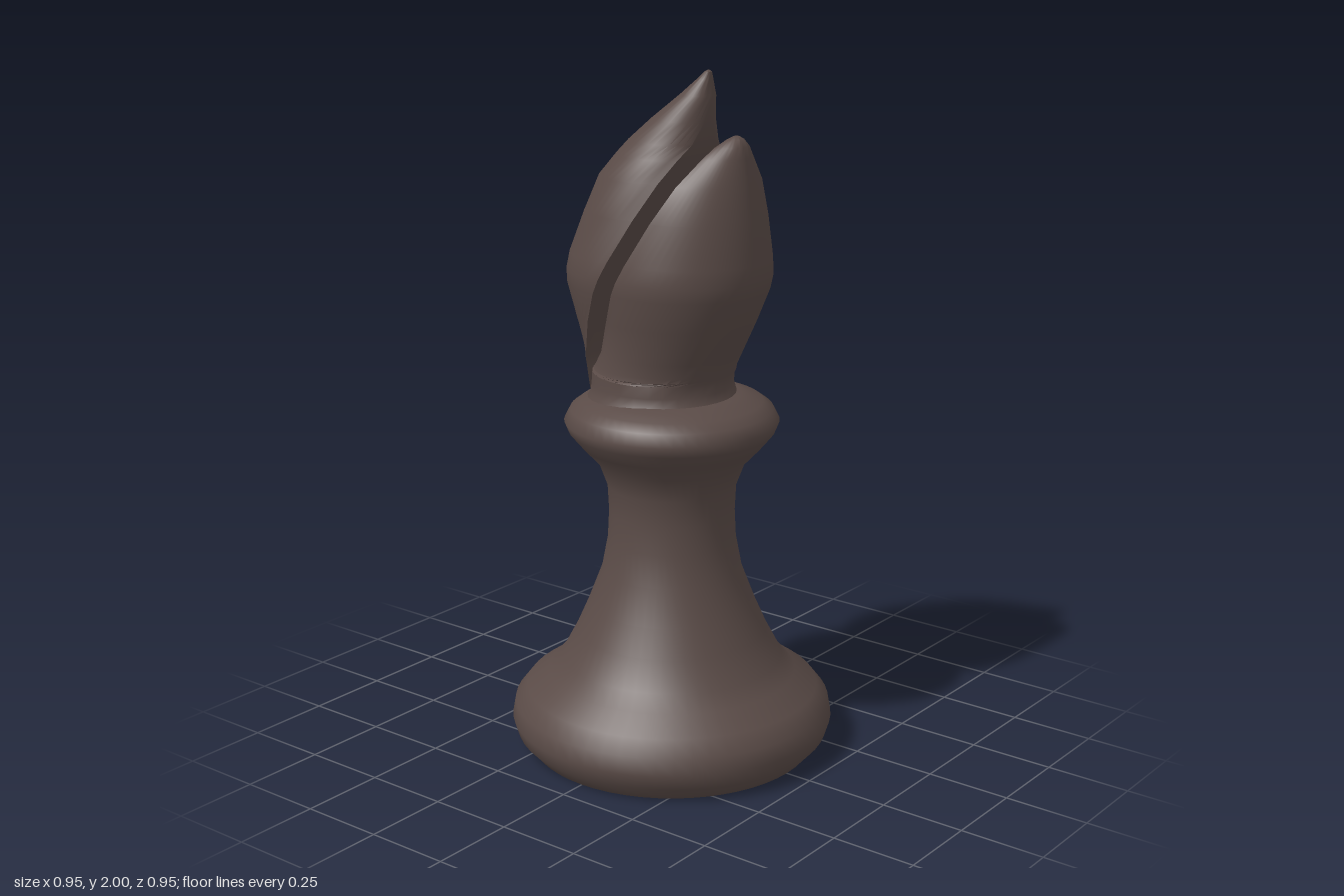
import * as THREE from 'three';
import { toCreasedNormals } from 'three/addons/utils/BufferGeometryUtils.js';

const ARC = 32, CHORD = 10;
const material = new THREE.MeshStandardMaterial({ color: 0x5a4b47 });

function addPart(group, name, geometry, crease) {
  const mesh = new THREE.Mesh(toCreasedNormals(geometry, crease), material);
  mesh.name = name;
  group.add(mesh);
}

// Stack of circles [y, centreX, radius, cutX], each trimmed by a straight chord
// at x = cutX; side -1 keeps the part left of the chord, +1 the part right of it.
function slicedSolid(levels, side) {
  const pos = [], index = [], n = ARC + CHORD;
  for (const [y, c, r, cut] of levels) {
    const a = Math.acos(THREE.MathUtils.clamp((cut - c) / r, -1, 1));
    const from = side < 0 ? a : -a;
    const to = side < 0 ? 2 * Math.PI - a : a;
    const point = (t) => [c + r * Math.cos(t), r * Math.sin(t)];
    for (let j = 0; j < ARC; j++) {
      const [x, z] = point(from + (to - from) * j / (ARC - 1));
      pos.push(x, y, z);
    }
    const [x0, z0] = point(to), [x1, z1] = point(from);
    for (let j = 1; j <= CHORD; j++) {
      const k = j / (CHORD + 1);
      pos.push(x0 + (x1 - x0) * k, y, z0 + (z1 - z0) * k);
    }
  }
  const last = (levels.length - 1) * n;
  for (let i = 0; i < levels.length - 1; i++) {
    for (let j = 0; j < n; j++) {
      const a = i * n + j, b = i * n + (j + 1) % n;
      index.push(a, a + n, b, b, a + n, b + n);
    }
  }
  // End caps
  for (let j = 1; j < n - 1; j++) {
    index.push(0, j, j + 1, last, last + j + 1, last + j);
  }
  const g = new THREE.BufferGeometry();
  g.setAttribute('position', new THREE.Float32BufferAttribute(pos, 3));
  g.setIndex(index);
  return g;
}

export function createModel() {
  const group = new THREE.Group();
  group.name = 'chessBishop';

  // Foot, waisted stem and collar in one turned profile
  const profile = [
    [0, 0], [0.42, 0], [0.43, 0.012], [0.46, 0.045], [0.474, 0.09], [0.465, 0.14],
    [0.43, 0.185], [0.365, 0.23], [0.325, 0.275], [0.28, 0.36], [0.245, 0.44],
    [0.205, 0.545], [0.187, 0.64], [0.183, 0.72], [0.187, 0.8], [0.213, 0.87],
    [0.262, 0.922], [0.298, 0.965], [0.31, 0.995], [0.292, 1.03], [0.262, 1.052],
    [0.225, 1.066], [0.2, 1.075], [0, 1.075],
  ].map(([r, y]) => new THREE.Vector2(r, y));
  addPart(group, 'turnedBody', new THREE.LatheGeometry(profile, 56), 0.9);

  // Left-leaning half of the split head, up to the tip
  addPart(group, 'upperHeadHalf', slicedSolid([
    [1.05, -0.04, 0.2, -0.2], [1.14, -0.055, 0.2, -0.21], [1.17, -0.06, 0.2, -0.208],
    [1.3, -0.066, 0.222, -0.135], [1.39, -0.069, 0.243, -0.09], [1.43, -0.069, 0.245, -0.07],
    [1.48, -0.065, 0.238, -0.045], [1.6, -0.05, 0.206, 0.015], [1.7, -0.03, 0.18, 0.068],
    [1.76, -0.01, 0.148, 0.097], [1.8, 0.005, 0.125, 0.115], [1.86, 0.04, 0.09, 0.128],
    [1.93, 0.09, 0.05, 1], [1.975, 0.115, 0.022, 1], [1.995, 0.125, 0.01, 1], [2, 0.126, 0.002, 1],
  ], -1), 0.75);

  // Right half of the head, solid below the slot
  addPart(group, 'lowerHeadHalf', slicedSolid([
    [1.05, -0.03, 0.225, -1], [1.075, -0.03, 0.21, -1], [1.1, -0.033, 0.205, -1], [1.135, -0.03, 0.205, -1],
    [1.145, -0.025, 0.205, -0.19], [1.16, -0.02, 0.203, -0.165], [1.2, 0, 0.203, -0.14],
    [1.3, 0.028, 0.222, -0.085], [1.39, 0.045, 0.242, -0.037], [1.43, 0.051, 0.245, -0.014],
    [1.48, 0.058, 0.237, 0.015], [1.6, 0.078, 0.206, 0.083], [1.7, 0.1, 0.17, 0.14],
    [1.77, 0.165, 0.092, 0.173], [1.8, 0.195, 0.057, 0.19], [1.82, 0.218, 0.024, 0.203],
    [1.828, 0.222, 0.008, 0.21],
  ], 1), 0.75);

  return group;
}
